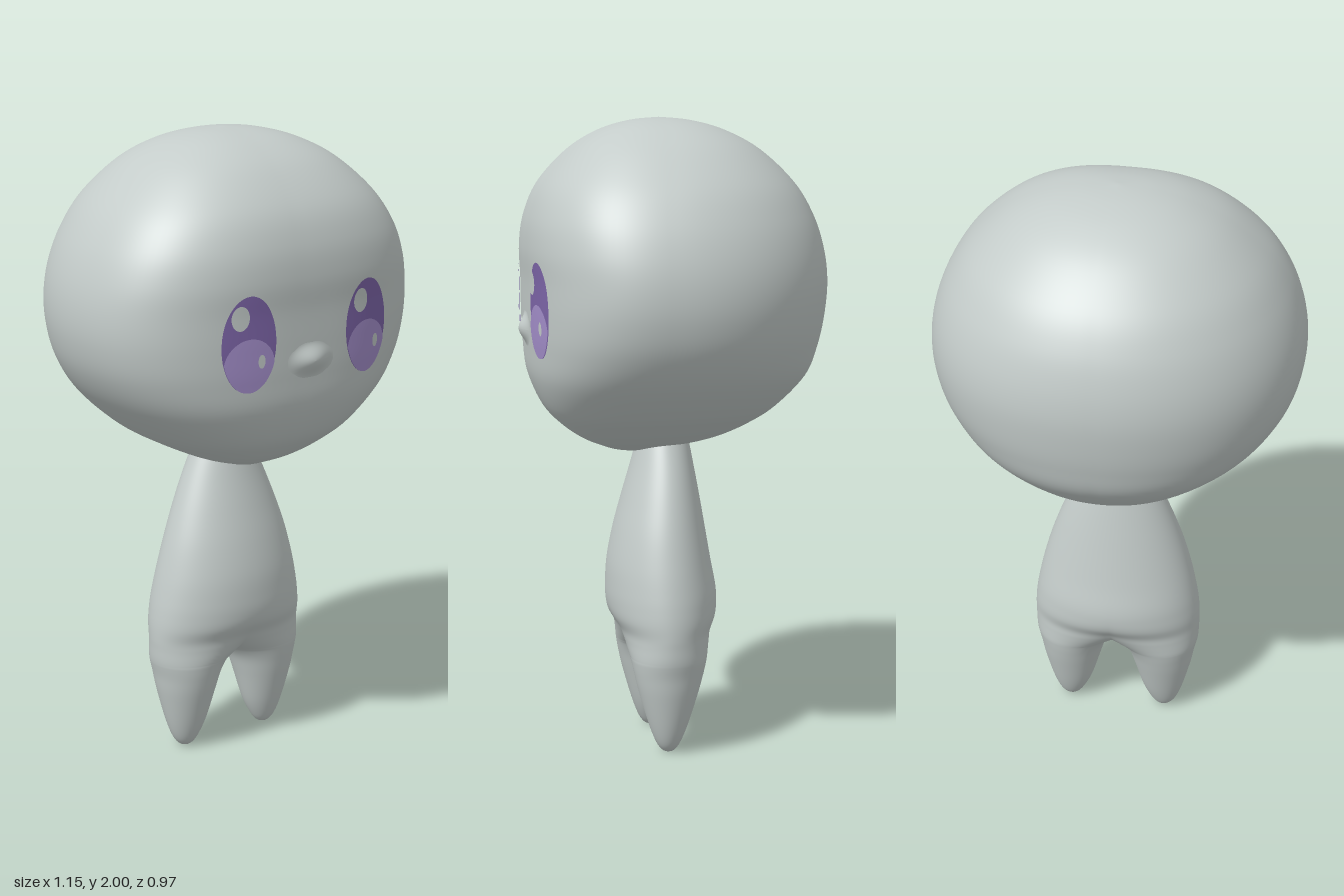
import * as THREE from 'three';
import { mergeVertices } from 'three/addons/utils/BufferGeometryUtils.js';

// Cross-sections of the left half, bottom to top:
// [y, half width, back z, front z, widest z, centre x]
const HEAD = [
  [0.95, 0, 0.125, 0.125, 0.125, 0], [0.96, 0.05, 0.045, 0.185, 0.11, 0],
  [0.975, 0.1, -0.05, 0.23, 0.1, 0], [1.0, 0.175, -0.15, 0.287, 0.09, 0],
  [1.04, 0.26, -0.24, 0.347, 0.08, 0], [1.1, 0.362, -0.33, 0.405, 0.07, 0],
  [1.2, 0.473, -0.422, 0.448, 0.07, 0], [1.3, 0.54, -0.458, 0.459, 0.07, 0],
  [1.4, 0.571, -0.477, 0.462, 0.07, 0], [1.5, 0.576, -0.484, 0.463, 0.07, 0],
  [1.6, 0.558, -0.472, 0.467, 0.07, 0], [1.7, 0.517, -0.44, 0.453, 0.07, 0],
  [1.8, 0.448, -0.38, 0.41, 0.06, 0], [1.9, 0.338, -0.275, 0.32, 0.05, 0],
  [1.96, 0.226, -0.165, 0.225, 0.04, 0], [1.99, 0.115, -0.06, 0.13, 0.04, 0],
  [2.0, 0, 0.04, 0.04, 0.04, 0],
];
// Leg below, half of the torso above: the two halves meet from y = 0.31 up
const BODY = [
  [0.005, 0, 0.04, 0.04, 0.04, 0.16], [0.012, 0.022, 0.02, 0.06, 0.04, 0.16],
  [0.04, 0.044, 0.0, 0.08, 0.04, 0.16], [0.1, 0.069, -0.025, 0.103, 0.04, 0.157],
  [0.2, 0.096, -0.057, 0.132, 0.04, 0.155], [0.26, 0.111, -0.074, 0.146, 0.04, 0.151],
  [0.295, 0.126, -0.083, 0.153, 0.04, 0.144], [0.31, 0.137, -0.087, 0.156, 0.04, 0.136],
  [0.33, 0.156, -0.092, 0.16, 0.04, 0.119], [0.36, 0.186, -0.1, 0.166, 0.04, 0.09],
  [0.39, 0.218, -0.109, 0.175, 0.04, 0.059], [0.43, 0.253, -0.131, 0.198, 0.04, 0.023],
  [0.47, 0.269, -0.139, 0.208, 0.04, 0.003], [0.52, 0.264, -0.137, 0.21, 0.04, 0],
  [0.6, 0.247, -0.122, 0.205, 0.04, 0], [0.7, 0.22, -0.105, 0.186, 0.04, 0],
  [0.8, 0.186, -0.088, 0.16, 0.035, 0], [0.9, 0.146, -0.07, 0.132, 0.03, 0],
  [1.0, 0.1, -0.05, 0.105, 0.03, 0], [1.08, 0.06, -0.02, 0.08, 0.03, 0],
];

// Smooth cross-section at fraction t of the list
function sample(rows, t) {
  const last = rows.length - 1;
  const s = t * last;
  const i = Math.min(Math.floor(s), last - 1);
  const u = s - i;
  const at = (k) => rows[Math.max(0, Math.min(last, k))];
  return rows[0].map((_, c) => {
    const [a, b, d, e] = [at(i - 1)[c], at(i)[c], at(i + 1)[c], at(i + 2)[c]];
    return b + 0.5 * u * (d - a + u * (2 * a - 5 * b + 4 * d - e + u * (3 * (b - d) + e - a)));
  });
}

// Mirrored surface through the cross-sections. Each ring is an arc cut off
// where it reaches x = 0, and closes by itself where it stays clear of it.
function loft(rows, frontPower, backPower, steps, sides) {
  const pos = [], index = [];
  const cols = sides + 1;
  for (const mirror of [1, -1]) {
    const base = pos.length / 3;
    for (let i = 0; i <= steps; i++) {
      const [y, width, back, front, zc, xc] = sample(rows, i / steps);
      const w = Math.max(width, 1e-6);
      const cut = Math.asin(THREE.MathUtils.clamp(xc / w, 0, 1));
      for (let j = 0; j <= sides; j++) {
        const a = -cut + (Math.PI + 2 * cut) * (j / sides);
        const s = Math.sin(a), c = Math.cos(a);
        const e = 2 / (c > 0 ? frontPower : backPower);
        const x = Math.max(0, xc + Math.sign(s) * Math.abs(s) ** e * w);
        const z = zc + Math.abs(c) ** e * (c > 0 ? front - zc : back - zc);
        pos.push(mirror * x, y, z);
        if (i < steps && j < sides) {
          const p = base + i * cols + j, q = p + cols;
          if (mirror > 0) index.push(p, p + 1, q + 1, p, q + 1, q);
          else index.push(p, q + 1, p + 1, p, q, q + 1);
        }
      }
    }
  }
  let g = new THREE.BufferGeometry();
  g.setAttribute('position', new THREE.Float32BufferAttribute(pos, 3));
  g.setIndex(index);
  g = mergeVertices(g, 1e-5);
  g.computeVertexNormals();
  return g;
}

const FACE_POWER = 2.6;

// Front depth of the head at (x, y)
function faceZ(x, y) {
  let lo = 0, hi = 1;
  for (let i = 0; i < 30; i++) {
    const mid = (lo + hi) / 2;
    if (sample(HEAD, mid)[0] < y) lo = mid; else hi = mid;
  }
  const [, w, , front, zc] = sample(HEAD, lo);
  return zc + (front - zc) * Math.max(0, 1 - Math.abs(x / w) ** FACE_POWER) ** (1 / FACE_POWER);
}

// Thin oval that follows the face; lift(r) raises it, clip(x, y) limits it
function facePatch(cx, cy, rx, ry, lift, clip = (x, y) => [x, y]) {
  const g = new THREE.RingGeometry(0, 1, 40, 10);
  g.deleteAttribute('uv');
  const p = g.attributes.position;
  for (let i = 0; i < p.count; i++) {
    const u = p.getX(i), v = p.getY(i);
    const [x, y] = clip(cx + u * rx, cy + v * ry);
    p.setXYZ(i, x, y, faceZ(x, y) + lift(Math.min(1, Math.hypot(u, v))));
  }
  g.computeVertexNormals();
  return g;
}

export function createModel() {
  const model = new THREE.Group();
  const material = (name, color) => {
    const m = new THREE.MeshStandardMaterial({ color });
    m.name = name;
    return m;
  };
  const skin = material('pale grey', 0xc4ccca);
  const iris = material('purple', 0x7d65a8);
  const irisLight = material('light purple', 0xa48fcb);

  const add = (name, geometry, mat, parent = model) => {
    const mesh = new THREE.Mesh(geometry, mat);
    mesh.name = name;
    parent.add(mesh);
  };

  // Head, and body with both legs
  add('head', loft(HEAD, FACE_POWER, 2.1, 96, 56), skin);
  add('bodyAndLegs', loft(BODY, 2, 2, 114, 40), skin);

  // Nose: a soft wide bump blending into the face
  add('nose', facePatch(0, 1.348, 0.095, 0.06, (r) => 0.023 * (1 - r * r) ** 2.5 - 0.0004), skin);

  // Eyes, with highlights on the same side of both
  for (const side of [1, -1]) {
    const eye = new THREE.Group();
    eye.name = side > 0 ? 'leftEye' : 'rightEye';
    model.add(eye);
    const cx = 0.225 * side, cy = 1.422, rx = 0.09, ry = 0.146;
    const insideEye = (x, y) => {
      const d = Math.max(1, Math.hypot((x - cx) / rx, (y - cy) / ry));
      return [cx + (x - cx) / d, cy + (y - cy) / d];
    };
    add('iris', facePatch(cx, cy, rx, ry, () => 0.004), iris, eye);
    add('irisLower', facePatch(cx, 1.357, 0.084, 0.083, () => 0.007, insideEye), irisLight, eye);
    add('largeHighlight', facePatch(cx - 0.036, 1.505, 0.029, 0.037, () => 0.011), skin, eye);
    add('smallHighlight', facePatch(cx + 0.036, 1.37, 0.012, 0.021, () => 0.011), skin, eye);
  }
  return model;
}
